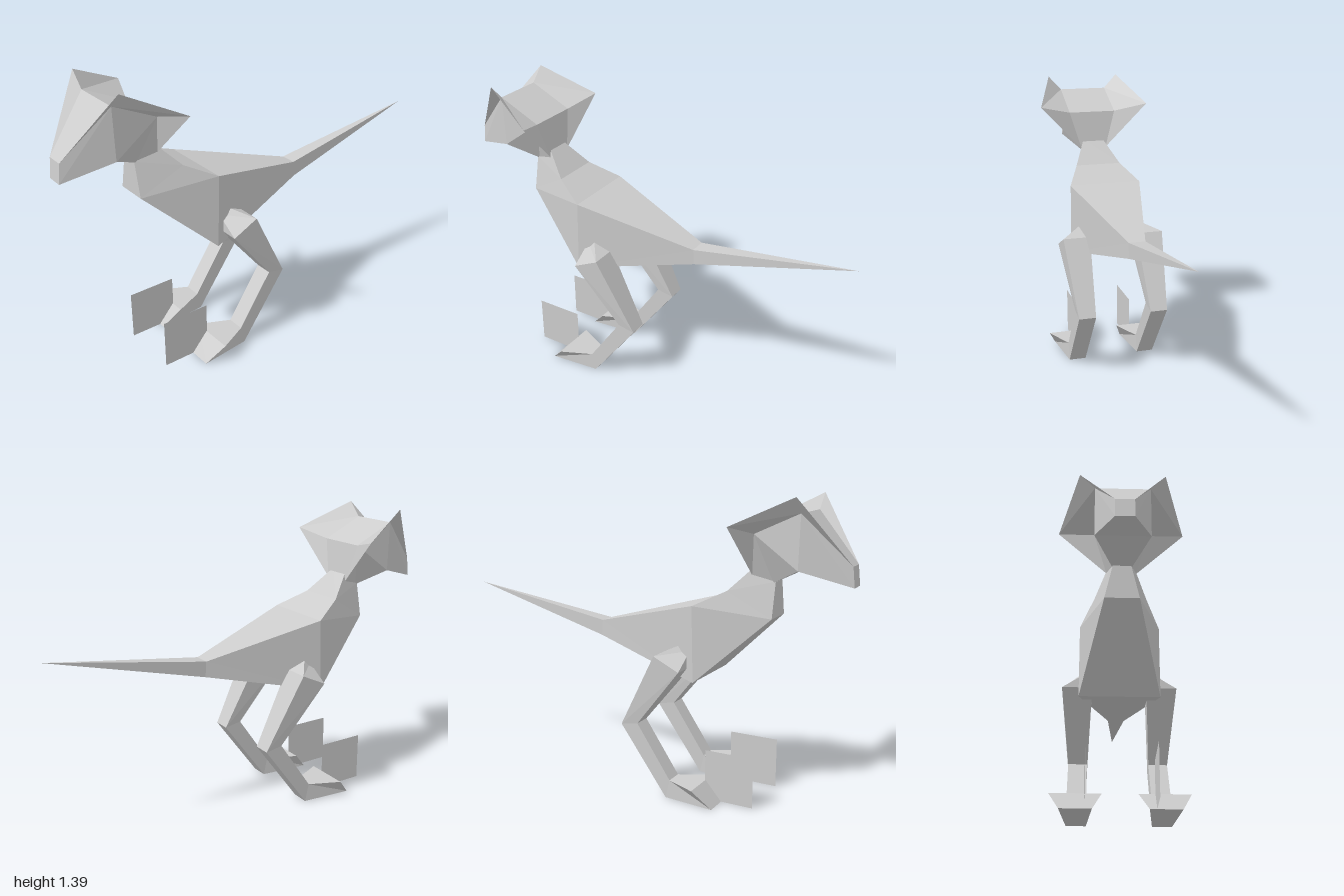
import * as THREE from 'three';

const paleGrey = new THREE.MeshStandardMaterial({ color: 0xcccccc, side: THREE.DoubleSide });
paleGrey.name = 'pale grey';

// Faceted mesh from a list of triangle corners
function facets(name, corners) {
  const geometry = new THREE.BufferGeometry();
  geometry.setAttribute('position', new THREE.Float32BufferAttribute(corners.flat(), 3));
  geometry.computeVertexNormals();
  const mesh = new THREE.Mesh(geometry, paleGrey);
  mesh.name = name;
  return mesh;
}

// Four-sided tube through sections; each section is [topEdge, bottomEdge],
// each edge is [xMin, xMax, y, z]
function loft(name, sections) {
  const rings = sections.map(([t, b]) => [
    [t[1], t[2], t[3]], [t[0], t[2], t[3]], [b[0], b[2], b[3]], [b[1], b[2], b[3]],
  ]);
  const out = [];
  for (let i = 0; i < rings.length - 1; i++) {
    for (let j = 0; j < 4; j++) {
      const k = (j + 1) % 4;
      const a = rings[i][j], b = rings[i][k], c = rings[i + 1][k], d = rings[i + 1][j];
      if (j === 1) out.push(a, d, b, b, d, c); // mirrors the diagonal of the other side
      else out.push(a, c, b, a, d, c);
    }
  }
  const f = rings[0], e = rings[rings.length - 1];
  out.push(f[0], f[1], f[2], f[0], f[2], f[3], e[0], e[2], e[1], e[0], e[3], e[2]);
  return facets(name, out);
}

// Edge centred on x = 0
const mid = (x, y, z) => [-x, x, y, z];
const mirrorEdge = ([x0, x1, y, z]) => [-x1, -x0, y, z];

export function createModel() {
  const model = new THREE.Group();
  model.name = 'two-legged dinosaur';

  // Neck, chest, hips and tail
  model.add(loft('bodyAndTail', [
    [mid(0.05, 1.09, 0.57), mid(0.04, 1.02, 0.655)],
    [mid(0.115, 0.975, 0.46), mid(0.075, 0.86, 0.655)],
    [mid(0.18, 0.905, 0.32), mid(0.18, 0.555, 0.33)],
    [mid(0.04, 0.76, -0.23), mid(0.04, 0.685, -0.235)],
    [mid(0, 0.88, -1), mid(0, 0.88, -1)],
  ]));

  // Head from snout to nape
  model.add(loft('head', [
    [mid(0.04, 1.11, 0.99), mid(0.04, 1.02, 1)],
    [mid(0.12, 1.325, 0.785), mid(0.12, 1.085, 0.78)],
    [mid(0.12, 1.23, 0.58), mid(0.04, 1.015, 0.645)],
    [mid(0.12, 1.23, 0.58), mid(0.065, 1.045, 0.555)],
  ]));

  // Leg sections from hip to toes: rear edge, front edge
  const legSections = [
    [[0.12, 0.14, 0.72, 0.26], [0.12, 0.14, 0.69, 0.295]],
    [[0.12, 0.255, 0.675, 0.17], [0.12, 0.255, 0.615, 0.295]],
    [[0.14, 0.225, 0.32, -0.015], [0.14, 0.225, 0.335, 0.07]],
    [[0.14, 0.225, 0, 0.22], [0.14, 0.225, 0.087, 0.24]],
    [[0.115, 0.25, 0, 0.465], [0.075, 0.295, 0.09, 0.385]],
  ];

  for (const [side, s] of [['left', 1], ['right', -1]]) {
    model.add(loft(side + 'Leg', s > 0 ? legSections
      : legSections.map((section) => section.map(mirrorEdge))));

    // Thin horn crest and frill flaring from the skull
    const nose = [0.04 * s, 1.11, 0.99], brow = [0.12 * s, 1.325, 0.785];
    const nape = [0.12 * s, 1.23, 0.58], jaw = [0.065 * s, 1.045, 0.555];
    const horn = [0.185 * s, 1.395, 0.785], tip = [0.28 * s, 1.27, 0.525];
    const crest = [nose, horn, brow, brow, horn, tip, brow, tip, nape, nape, tip, jaw];
    model.add(facets(side + 'Crest', s > 0 ? crest : crest.reverse()));

    // Upright claw plate in front of the foot
    const claw = new THREE.Mesh(new THREE.PlaneGeometry(0.235, 0.235), paleGrey);
    claw.name = side + 'Claw';
    claw.rotation.y = s * Math.PI / 2;
    claw.position.set(0.145 * s, 0.1175, 0.5);
    model.add(claw);
  }
  return model;
}
